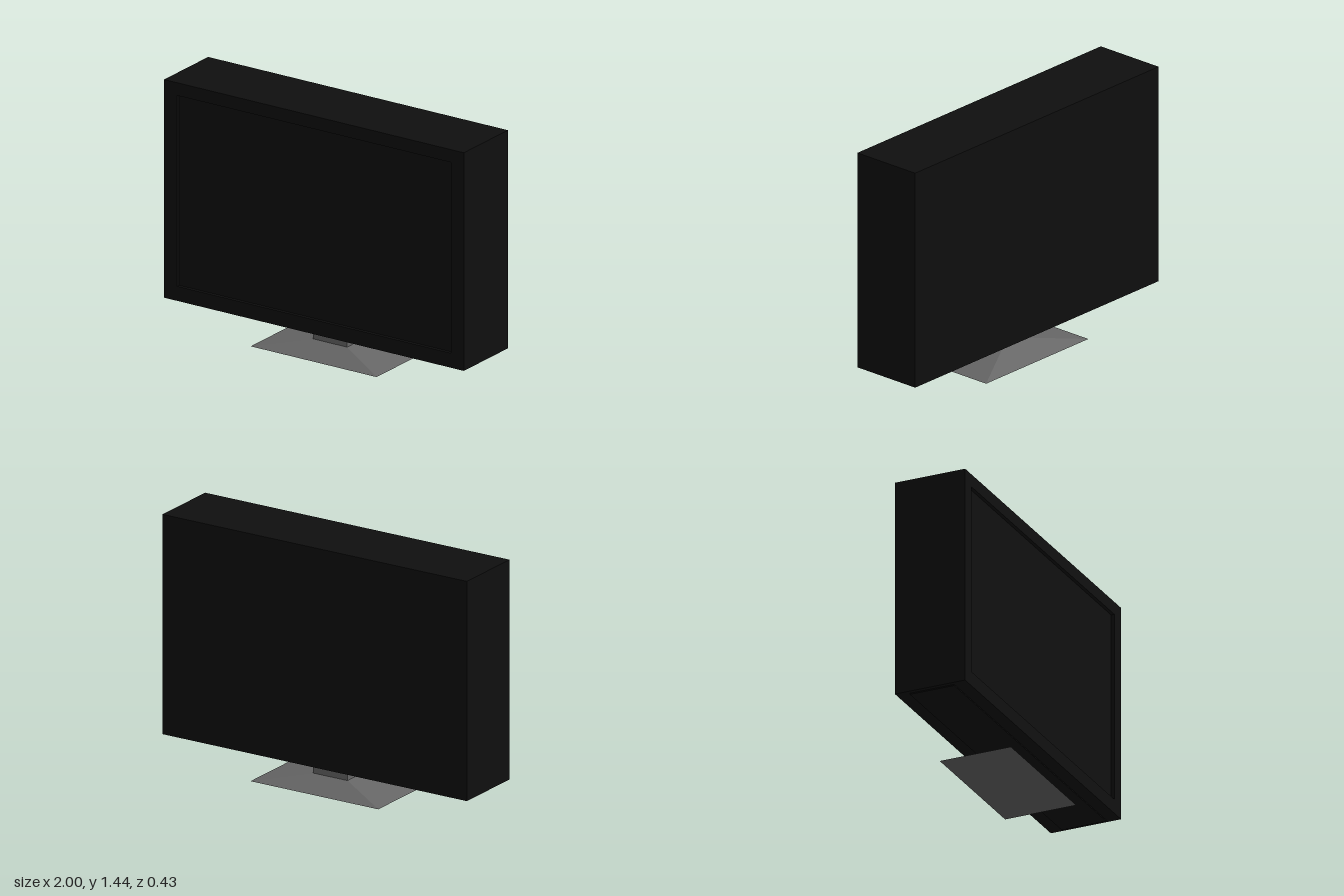
import * as THREE from 'three';

export function createModel() {
  const group = new THREE.Group();
  const black = new THREE.MeshStandardMaterial({ name: 'black casing', color: 0x0f0f0f });
  const grey = new THREE.MeshStandardMaterial({ name: 'grey stand', color: 0x666666 });

  const add = (name, geometry, material, x, y, z) => {
    const mesh = new THREE.Mesh(geometry, material);
    mesh.name = name;
    mesh.position.set(x, y, z);
    group.add(mesh);
    return mesh;
  };
  const rect = (Type, w, y0, y1) => {
    const path = new Type();
    path.moveTo(-w, y0).lineTo(w, y0).lineTo(w, y1).lineTo(-w, y1).closePath();
    return path;
  };

  const bottom = 0.16, top = 1.44, half = 0.213, recess = 0.02;

  // Casing; its front face, behind the frame, is the screen
  const depth = 2 * half - recess;
  add('casing', new THREE.BoxGeometry(2, top - bottom, depth), black,
    0, (top + bottom) / 2, -recess / 2);

  // Raised frame around the recessed screen
  const outline = rect(THREE.Shape, 1, bottom, top);
  outline.holes.push(rect(THREE.Path, 0.915, 0.245, 1.365));
  add('screenFrame', new THREE.ExtrudeGeometry(outline, { depth: recess, bevelEnabled: false }),
    black, 0, 0, half - recess);

  // Thin plate under the casing
  add('underPlate', new THREE.BoxGeometry(1.95, 0.008, 0.27), black, 0, bottom - 0.003, 0);

  // Neck
  add('standNeck', new THREE.BoxGeometry(0.226, 0.1, 0.113), grey, 0, 0.107, 0);

  // Sloped base: a box whose top is drawn in to the neck
  const base = new THREE.BoxGeometry(0.84, 0.06, 0.432).toNonIndexed();
  const p = base.attributes.position;
  for (let i = 0; i < p.count; i++) {
    if (p.getY(i) > 0) {
      p.setX(i, Math.sign(p.getX(i)) * 0.113);
      p.setZ(i, Math.sign(p.getZ(i)) * 0.0565);
    }
  }
  base.computeVertexNormals();
  add('standBase', base, grey, 0, 0.03, 0);

  return group;
}
